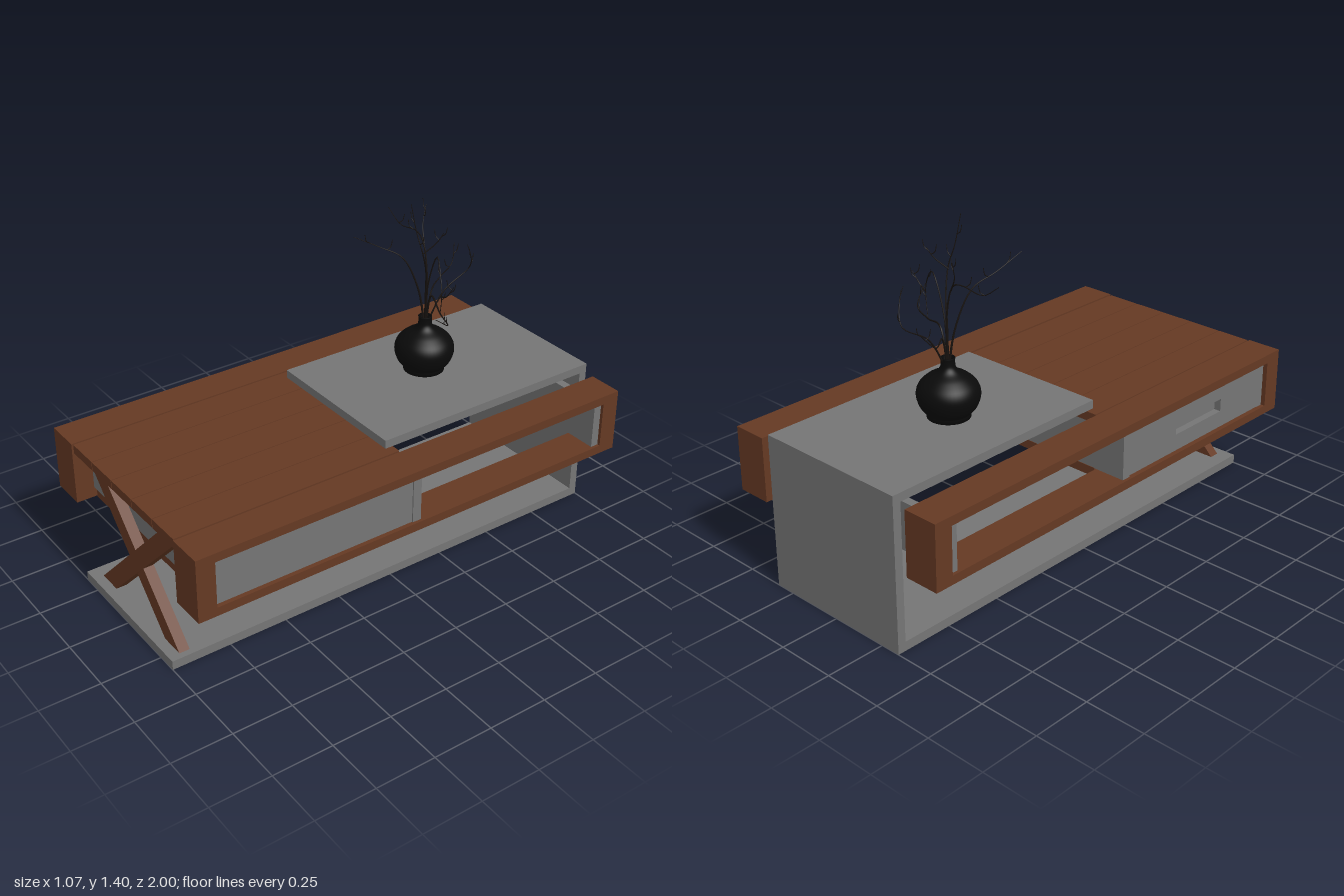
import * as THREE from 'three';

const wood = new THREE.MeshStandardMaterial({ color: 0x653923 });
const grey = new THREE.MeshStandardMaterial({ color: 0x757575 });
const black = new THREE.MeshStandardMaterial({ color: 0x0a0a0a });
const twigMat = new THREE.MeshStandardMaterial({ color: 0x17120f });

// Box given by its lower and upper limits on each axis
function box(parent, name, mat, [x0, x1], [y0, y1], [z0, z1]) {
  const mesh = new THREE.Mesh(new THREE.BoxGeometry(x1 - x0, y1 - y0, z1 - z0), mat);
  mesh.position.set((x0 + x1) / 2, (y0 + y1) / 2, (z0 + z1) / 2);
  mesh.name = name;
  parent.add(mesh);
  return mesh;
}

function polygon(points) {
  return new THREE.Shape(points.map(([x, y]) => new THREE.Vector2(x, y)));
}

function extruded(parent, name, mat, shape, depth) {
  const geo = new THREE.ExtrudeGeometry(shape, { depth, bevelEnabled: false });
  const mesh = new THREE.Mesh(geo, mat);
  mesh.name = name;
  parent.add(mesh);
  return mesh;
}

// Tube that narrows from radius r0 at its start to r1 at its tip
function taperedTube(curve, r0, r1, segments = 24, sides = 6) {
  const geo = new THREE.TubeGeometry(curve, segments, 1, sides, false);
  const pos = geo.attributes.position;
  const v = new THREE.Vector3();
  for (let i = 0; i <= segments; i++) {
    const centre = curve.getPointAt(i / segments);
    const r = THREE.MathUtils.lerp(r0, r1, i / segments);
    for (let j = 0; j <= sides; j++) {
      const k = i * (sides + 1) + j;
      v.fromBufferAttribute(pos, k).sub(centre).multiplyScalar(r).add(centre);
      pos.setXYZ(k, v.x, v.y, v.z);
    }
  }
  return geo;
}

export function createModel() {
  const model = new THREE.Group();
  model.name = 'coffeeTable';

  // Grey slab that wraps from the floor up the back and over the top
  const wrap = new THREE.Group();
  wrap.name = 'wrapSlab';
  model.add(wrap);
  const slabX = [-0.336, 0.336];
  box(wrap, 'floorSlab', grey, slabX, [0, 0.038], [-1, 1]);
  box(wrap, 'backSlab', grey, slabX, [0.038, 0.605], [-1, -0.965]);
  box(wrap, 'topSlab', grey, slabX, [0.605, 0.64], [-1, 0.035]);

  // Long side frames, one on each side
  for (const side of [-1, 1]) {
    const frame = new THREE.Group();
    frame.name = side > 0 ? 'leftFrame' : 'rightFrame';
    model.add(frame);
    const fx = side > 0 ? [0.385, 0.533] : [-0.533, -0.385];
    box(frame, 'topRail', wood, fx, [0.568, 0.605], [-0.992, 0.99]);
    box(frame, 'bottomRail', wood, fx, [0.337, 0.373], [-0.992, 0.99]);
    box(frame, 'frontPost', wood, fx, [0.373, 0.568], [0.912, 0.99]);
    box(frame, 'backPost', wood, fx, [0.373, 0.568], [-0.992, -0.915]);
  }

  // Five planks above and five below, with narrow gaps
  for (let i = 0; i < 5; i++) {
    const x0 = -0.378 + i * 0.1515;
    const px = [x0, x0 + 0.148];
    box(model, 'deckPlank', wood, px, [0.566, 0.604], [0, 0.985]);
    box(model, 'lowerPlank', wood, px, [0.337, 0.375], [0, 0.905]);
  }

  // Cupboard panels between the planks
  const py = [0.373, 0.568];
  box(model, 'frontPanel', grey, [-0.515, 0.515], py, [0.875, 0.908]);
  box(model, 'divider', grey, [-0.52, 0.52], py, [0.002, 0.04]);
  box(model, 'backPanel', grey, [-0.52, 0.52], py, [-0.915, -0.88]);
  box(model, 'leftSidePanel', grey, [0.49, 0.515], py, [0.04, 0.91]);

  // Drawer front on the right side with a recessed pull
  const front = polygon([[0.045, 0.375], [0.91, 0.375], [0.91, 0.566], [0.045, 0.566]]);
  front.holes.push(polygon([[0.33, 0.445], [0.33, 0.5], [0.62, 0.5], [0.62, 0.445]]));
  const drawer = extruded(model, 'drawerFront', grey, front, 0.03);
  drawer.rotation.y = -Math.PI / 2;
  drawer.position.x = -0.485;
  box(model, 'pullRecess', grey, [-0.485, -0.475], [0.42, 0.52], [0.3, 0.65]);

  // Crossed front legs
  const legs = [
    [[-0.275, 0.038], [-0.17, 0.038], [0.355, 0.566], [0.25, 0.566]],
    [[0.205, 0.038], [0.31, 0.038], [-0.215, 0.566], [-0.32, 0.566]],
  ];
  legs.forEach((points, i) => {
    extruded(model, 'crossLeg', wood, polygon(points), 0.044).position.z = 0.914 - i * 0.003;
  });

  // Round vase with a narrow open neck
  const outline = new THREE.SplineCurve([
    [0.083, 0.016], [0.108, 0.045], [0.122, 0.09], [0.112, 0.13], [0.08, 0.162],
    [0.045, 0.182], [0.03, 0.2], [0.027, 0.22], [0.028, 0.238],
  ].map(([x, y]) => new THREE.Vector2(x, y))).getPoints(40);
  const profile = [
    new THREE.Vector2(0, 0), new THREE.Vector2(0.084, 0), ...outline,
    new THREE.Vector2(0.022, 0.238), new THREE.Vector2(0.02, 0.19), new THREE.Vector2(0, 0.17),
  ];
  const vase = new THREE.Mesh(new THREE.LatheGeometry(profile, 48), black);
  vase.name = 'vase';
  vase.position.set(-0.03, 0.64, -0.435);
  model.add(vase);

  // Dry branches: start radius, then the path
  const root = [-0.03, 0.82, -0.435];
  const branches = [
    [0.005, root, [-0.025, 1, -0.43], [0.01, 1.1, -0.4], [0.035, 1.2, -0.36], [0.015, 1.28, -0.345], [0, 1.4, -0.326]],
    [0.005, root, [-0.045, 1.05, -0.45], [-0.09, 1.18, -0.46], [-0.15, 1.2, -0.47], [-0.25, 1.19, -0.47], [-0.325, 1.24, -0.465]],
    [0.005, root, [-0.05, 1, -0.41], [-0.08, 1.14, -0.35], [-0.12, 1.19, -0.27], [-0.15, 1.25, -0.165]],
    [0.005, root, [0.01, 0.985, -0.43], [0.13, 0.97, -0.38], [0.24, 0.98, -0.33], [0.28, 1.05, -0.235]],
    [0.004, root, [0, 1.03, -0.42], [0.065, 1.18, -0.41], [0.14, 1.12, -0.37], [0.16, 1.07, -0.36], [0.13, 0.97, -0.38]],
    [0.003, [0.155, 1.06, -0.36], [0.2, 1.08, -0.35], [0.23, 1.13, -0.36]],
    [0.004, root, [-0.05, 0.97, -0.48], [-0.11, 0.98, -0.57], [-0.1, 1.03, -0.62], [-0.17, 1.08, -0.69]],
    [0.004, root, [-0.02, 0.97, -0.52], [0, 1.05, -0.63], [0.04, 1.13, -0.6], [0.04, 1.18, -0.58]],
    [0.003, [-0.08, 1.16, -0.46], [-0.13, 1.23, -0.49], [-0.15, 1.3, -0.52]],
    [0.003, [0.03, 1.19, -0.365], [0.06, 1.24, -0.41], [0.075, 1.28, -0.43]],
  ];
  const bouquet = new THREE.Group();
  bouquet.name = 'branches';
  model.add(bouquet);
  const addBranch = (name, curve, r) => {
    const mesh = new THREE.Mesh(taperedTube(curve, r, 0.0012), twigMat);
    mesh.name = name;
    bouquet.add(mesh);
  };
  branches.forEach(([r, ...path], i) => {
    const curve = new THREE.CatmullRomCurve3(path.map((p) => new THREE.Vector3(...p)));
    addBranch('branch', curve, r);
    // Short side twigs near the tip
    [0.72, 0.87].forEach((t, j) => {
      const a = i * 2.4 + j * 3;
      const start = curve.getPointAt(t);
      const mid = start.clone().add(new THREE.Vector3(Math.cos(a) * 0.015, 0.012, Math.sin(a) * 0.015));
      const tip = start.clone().add(new THREE.Vector3(Math.cos(a) * 0.022, 0.04, Math.sin(a) * 0.022));
      addBranch('twig', new THREE.CatmullRomCurve3([start, mid, tip]), 0.002);
    });
  });

  return model;
}
